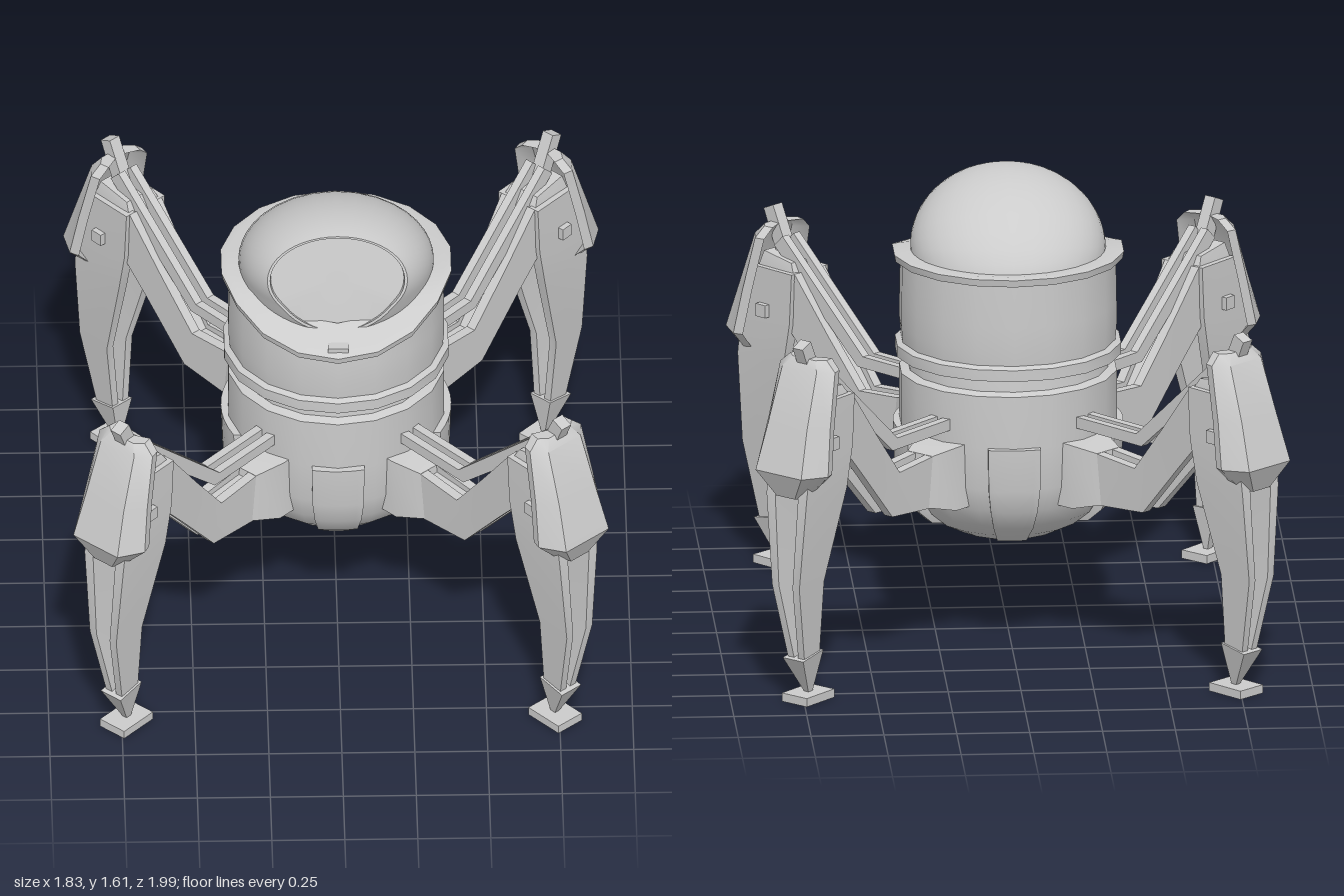
import * as THREE from 'three';
import { toCreasedNormals } from 'three/addons/utils/BufferGeometryUtils.js';

const material = new THREE.MeshStandardMaterial({ color: 0xcccccc, side: THREE.DoubleSide });

function addMesh(parent, name, geometry, crease = 0.6) {
  const mesh = new THREE.Mesh(toCreasedNormals(geometry, crease), material);
  mesh.name = name;
  parent.add(mesh);
  return mesh;
}

// Skin a list of equal-length rings; closed rings wrap round and can be capped
function loft(rings, { closed = true, capped = true } = {}) {
  const n = rings[0].length;
  if (closed && capped) {
    const centre = (ring) => {
      const c = [0, 1, 2].map((k) => ring.reduce((s, p) => s + p[k], 0) / n);
      return ring.map(() => c);
    };
    rings = [centre(rings[0]), ...rings, centre(rings[rings.length - 1])];
  }
  const index = [];
  for (let j = 0; j < rings.length - 1; j++) {
    for (let i = 0; i < (closed ? n : n - 1); i++) {
      const a = j * n + i, b = j * n + ((i + 1) % n);
      index.push(a, b, b + n, a, b + n, a + n);
    }
  }
  const g = new THREE.BufferGeometry();
  g.setAttribute('position', new THREE.Float32BufferAttribute(rings.flat(2), 3));
  g.setIndex(index);
  g.computeVertexNormals();
  return g;
}

// Four-sided bar; each station is [lower r, lower y, upper r, upper y, t from, t to]
function bar(stations, side = 1) {
  return loft(stations.map(([r1, y1, r2, y2, t1, t2]) => [
    [side * t1, y1, r1], [side * t2, y1, r1], [side * t2, y2, r2], [side * t1, y2, r2],
  ]));
}

function lathe(points, segments = 18) {
  return new THREE.LatheGeometry(points.map(([r, y]) => new THREE.Vector2(r, y)), segments);
}

// The collar and the drum below it dip towards the front
function dipFront(geometry, fromY) {
  const p = geometry.attributes.position;
  for (let i = 0; i < p.count; i++) {
    if (p.getY(i) > fromY) p.setY(i, p.getY(i) - Math.max(0, p.getZ(i) - 0.14) * 0.49);
  }
  geometry.computeVertexNormals();
  return geometry;
}

// Curved panel hugging the hull; rows are [y, radius, half width]
function panel(rows) {
  const first = rows[0], last = rows[rows.length - 1];
  const all = [[first[0], first[1] - 0.05, first[2]], ...rows, [last[0], last[1] - 0.05, last[2]]];
  return loft(all.map(([y, R, w]) => {
    const ring = [];
    for (let i = 0; i <= 8; i++) {
      const x = w * (i / 4 - 1);
      ring.push([x, y, Math.sqrt(R * R - x * x)]);
    }
    const edge = ring[0][2] - 0.05;
    return [[-w, y, edge], ...ring, [w, y, edge]];
  }), { closed: false });
}

function createBody() {
  const body = new THREE.Group();
  body.name = 'body';
  addMesh(body, 'hull', lathe([
    [0, 0.345], [0.1, 0.35], [0.18, 0.37], [0.25, 0.405], [0.31, 0.455], [0.35, 0.52],
    [0.37, 0.6], [0.375, 0.75], [0.375, 0.935], [0.345, 0.945], [0.34, 1.0],
  ]));
  addMesh(body, 'waistRing', lathe([[0.33, 0.995], [0.39, 0.995], [0.39, 1.035], [0.37, 1.045]]));
  addMesh(body, 'drum', dipFront(lathe([
    [0.37, 1.04], [0.375, 1.1], [0.375, 1.18], [0.372, 1.34],
  ]), 1.2));
  addMesh(body, 'collar', dipFront(lathe([
    [0.27, 1.335], [0.375, 1.335], [0.395, 1.335], [0.4, 1.36], [0.375, 1.365], [0.27, 1.355], [0.27, 1.335],
  ]), 1.2));

  // Narrow panels front and back, wide panels on the sides
  const narrow = [[0.75, 0.395, 0.09], [0.6, 0.39, 0.088], [0.52, 0.37, 0.08], [0.45, 0.325, 0.068], [0.38, 0.235, 0.05]];
  const wide = [[0.75, 0.395, 0.175], [0.6, 0.39, 0.17], [0.52, 0.375, 0.16], [0.46, 0.345, 0.15], [0.42, 0.3, 0.135]];
  ['frontPanel', 'leftPanel', 'backPanel', 'rightPanel'].forEach((name, i) => {
    addMesh(body, name, panel(i % 2 ? wide : narrow)).rotation.y = i * Math.PI / 2;
  });
  addMesh(body, 'collarClasp', new THREE.BoxGeometry(0.07, 0.035, 0.07)).position.set(0, 1.245, 0.345);
  return body;
}

// Sheared dome, skinned from its round front opening to its base
function createHead() {
  const head = new THREE.Group();
  head.name = 'head';
  const place = (v) => [
    0.335 * v.x,
    1.365 + (v.y < 0 ? 0.4 : 0.25) * v.y,
    0.335 * v.z + 0.13 * v.y,
  ];
  const N = 48, steps = 16;
  const axis = new THREE.Vector3(0, 0.519, 0.855), up = new THREE.Vector3(0, 0.855, -0.519);
  const opening = (scale, depth) => Array.from({ length: N }, (_, i) => {
    const a = (i / N) * Math.PI * 2;
    return axis.clone().multiplyScalar(0.697 - depth)
      .addScaledVector(up, 0.717 * scale * Math.cos(a))
      .add(new THREE.Vector3(0.717 * scale * Math.sin(a), 0, 0));
  });
  const rim = opening(1, 0);
  const rings = [];
  for (let j = 0; j <= steps; j++) {
    rings.push(rim.map((p, i) => {
      const a = (i / N) * Math.PI * 2;
      const base = new THREE.Vector3(0.937 * Math.sin(a), -0.35, -0.937 * Math.cos(a));
      return place(p.clone().lerp(base, j / steps).normalize());
    }));
  }
  addMesh(head, 'dome', loft(rings, { capped: false }), 0.8);
  const lens = [[1, 0], [0.96, 0], [0.95, 0.06], [0, 0.06]];
  addMesh(head, 'lens', loft(lens.map(([s, d]) => opening(s, d).map(place)), { capped: false }));
  return head;
}

// Leg along its own z axis: x is sideways, z is the distance from the body axis
function createLeg(name) {
  const leg = new THREE.Group();
  leg.name = name;
  addMesh(leg, 'hip', bar([
    [0.28, 0.53, 0.28, 0.76, -0.1, 0.1], [0.4, 0.53, 0.38, 0.755, -0.095, 0.095],
    [0.5, 0.555, 0.48, 0.735, -0.055, 0.055],
  ]));
  addMesh(leg, 'thighCore', bar([
    [0.4, 0.58, 0.4, 0.71, -0.03, 0.03], [0.68, 0.61, 0.67, 0.7, -0.03, 0.03],
    [0.98, 0.92, 0.95, 1.03, -0.04, 0.04],
  ]));
  addMesh(leg, 'knee', bar([
    [1.01, 0.82, 1.18, 0.82, -0.075, 0.075], [0.95, 1.06, 1.13, 1.06, -0.075, 0.075],
    [0.98, 1.11, 1.11, 1.13, -0.06, 0.06],
  ]));
  for (const side of [-1, 1]) {
    addMesh(leg, 'thighPlate', bar([
      [0.4, 0.545, 0.4, 0.74, 0.02, 0.055], [0.7, 0.57, 0.66, 0.72, 0.02, 0.055],
      [0.88, 0.77, 0.8, 0.89, 0.03, 0.065], [1.02, 0.92, 0.95, 1.08, 0.035, 0.075],
    ], side));
    addMesh(leg, 'shinBar', bar([
      [0.95, 1.08, 1.13, 1.08, 0.05, 0.09], [0.96, 0.9, 1.19, 0.9, 0.05, 0.09],
      [0.99, 0.75, 1.21, 0.75, 0.05, 0.088], [1.08, 0.43, 1.215, 0.43, 0.03, 0.06],
      [1.075, 0.15, 1.155, 0.15, 0.008, 0.035],
    ], side));
    addMesh(leg, 'strut', bar([
      [0.33, 0.8, 0.33, 0.84, 0.012, 0.042], [0.68, 0.8, 0.655, 0.84, 0.012, 0.042],
      [1.08, 1.15, 1.04, 1.19, 0.012, 0.042],
    ], side));
    addMesh(leg, 'kneeBolt', new THREE.BoxGeometry(0.03, 0.045, 0.045)).position.set(side * 0.095, 0.93, 1.08);
  }
  addMesh(leg, 'kneePin', bar([
    [1.03, 1.12, 1.08, 1.1, -0.022, 0.022], [1.105, 1.285, 1.15, 1.265, -0.022, 0.022],
  ]));

  // Folded shield over the knee: [y, r, half flat, half width, sweep back]
  const shield = [
    [1.225, 1.115, 0.05, 0.08, 0.025], [1.19, 1.14, 0.075, 0.12, 0.045], [1.0, 1.205, 0.085, 0.135, 0.065],
    [0.84, 1.255, 0.1, 0.15, 0.085], [0.75, 1.215, 0.04, 0.06, 0.03],
  ].map(([y, r, flat, w, back]) => {
    const outer = [[-w, y, r - back], [-flat, y, r], [flat, y, r], [w, y, r - back]];
    return [...outer, ...outer.map(([x, , z]) => [x * 0.93, y, z - 0.035]).reverse()];
  });
  addMesh(leg, 'kneeShield', loft(shield));

  addMesh(leg, 'ankleSpike', bar([
    [1.065, 0.18, 1.175, 0.16, -0.045, 0.045], [1.08, 0.025, 1.1, 0.025, -0.008, 0.008],
  ]));
  addMesh(leg, 'foot', new THREE.BoxGeometry(0.11, 0.03, 0.15)).position.set(0, 0.015, 1.093);
  return leg;
}

export function createModel() {
  const model = new THREE.Group();
  model.name = 'walker';
  model.add(createBody(), createHead());
  const spread = 0.7366;
  const legs = {
    frontLeftLeg: spread, frontRightLeg: -spread,
    backLeftLeg: Math.PI - spread, backRightLeg: Math.PI + spread,
  };
  for (const [name, angle] of Object.entries(legs)) {
    const leg = createLeg(name);
    leg.rotation.y = angle;
    model.add(leg);
  }
  return model;
}
